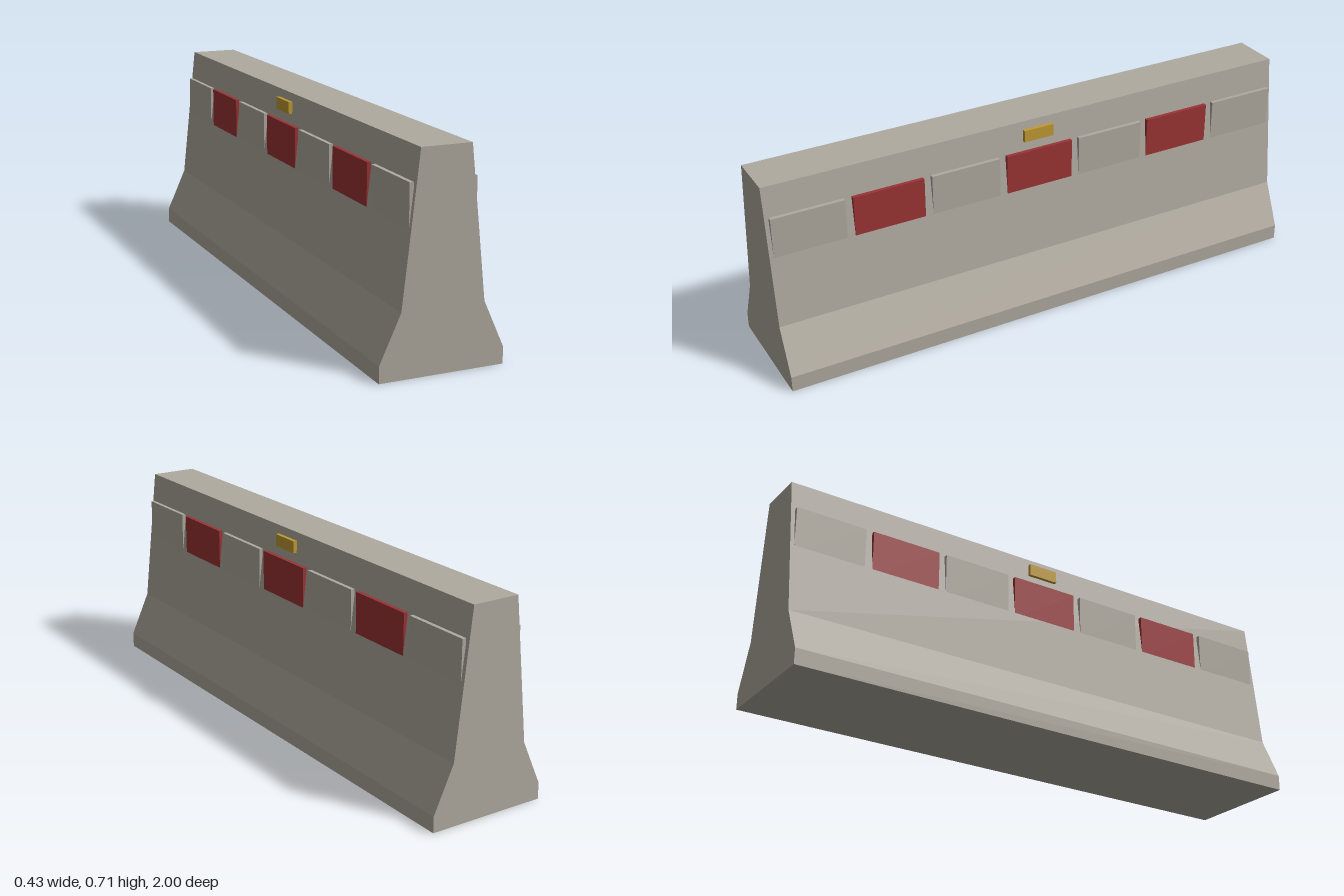
import * as THREE from 'three';

export function createModel() {
  const concrete = new THREE.MeshStandardMaterial({ name: 'concrete', color: 0xb0aa9f });
  const red = new THREE.MeshStandardMaterial({ name: 'red', color: 0x9c3335 });
  const amber = new THREE.MeshStandardMaterial({ name: 'amber', color: 0xc09a32 });

  const model = new THREE.Group();
  model.name = 'roadBarrier';

  // Barrier body: a stepped, tapering profile extruded along z
  const half = [[0.214, 0], [0.214, 0.056], [0.142, 0.215], [0.086, 0.714]];
  const outline = [...half, ...half.map(([x, y]) => [-x, y]).reverse()];
  const profile = new THREE.Shape(outline.map(([x, y]) => new THREE.Vector2(x, y)));
  const bodyGeometry = new THREE.ExtrudeGeometry(profile, { depth: 2, bevelEnabled: false });
  bodyGeometry.translate(0, 0, -1);
  const body = new THREE.Mesh(bodyGeometry, concrete);
  body.name = 'body';
  model.add(body);

  // Box given by its lower and upper limits in x and y, centred on z
  function addBox(name, material, side, [x0, x1], [y0, y1], z, length) {
    const mesh = new THREE.Mesh(new THREE.BoxGeometry(x1 - x0, y1 - y0, length), material);
    mesh.name = name;
    mesh.position.set(side * (x0 + x1) / 2, (y0 + y1) / 2, z);
    model.add(mesh);
  }

  for (const side of [-1, 1]) {
    const label = side > 0 ? 'left' : 'right';

    // Row of alternating plain and red panels, sunk into the sloping wall
    for (let i = -3; i <= 3; i++) {
      const isRed = i % 2 === 0;
      addBox(label + (isRed ? 'RedPanel' : 'PlainPanel'), isRed ? red : concrete,
        side, [0.1, 0.114], [0.44, 0.608], i * 2 / 7, 0.257);
    }

    // Reflector near the top
    addBox(label + 'Reflector', amber, side, [0.0925, 0.1065], [0.643, 0.686], 0, 0.114);
  }
  return model;
}
